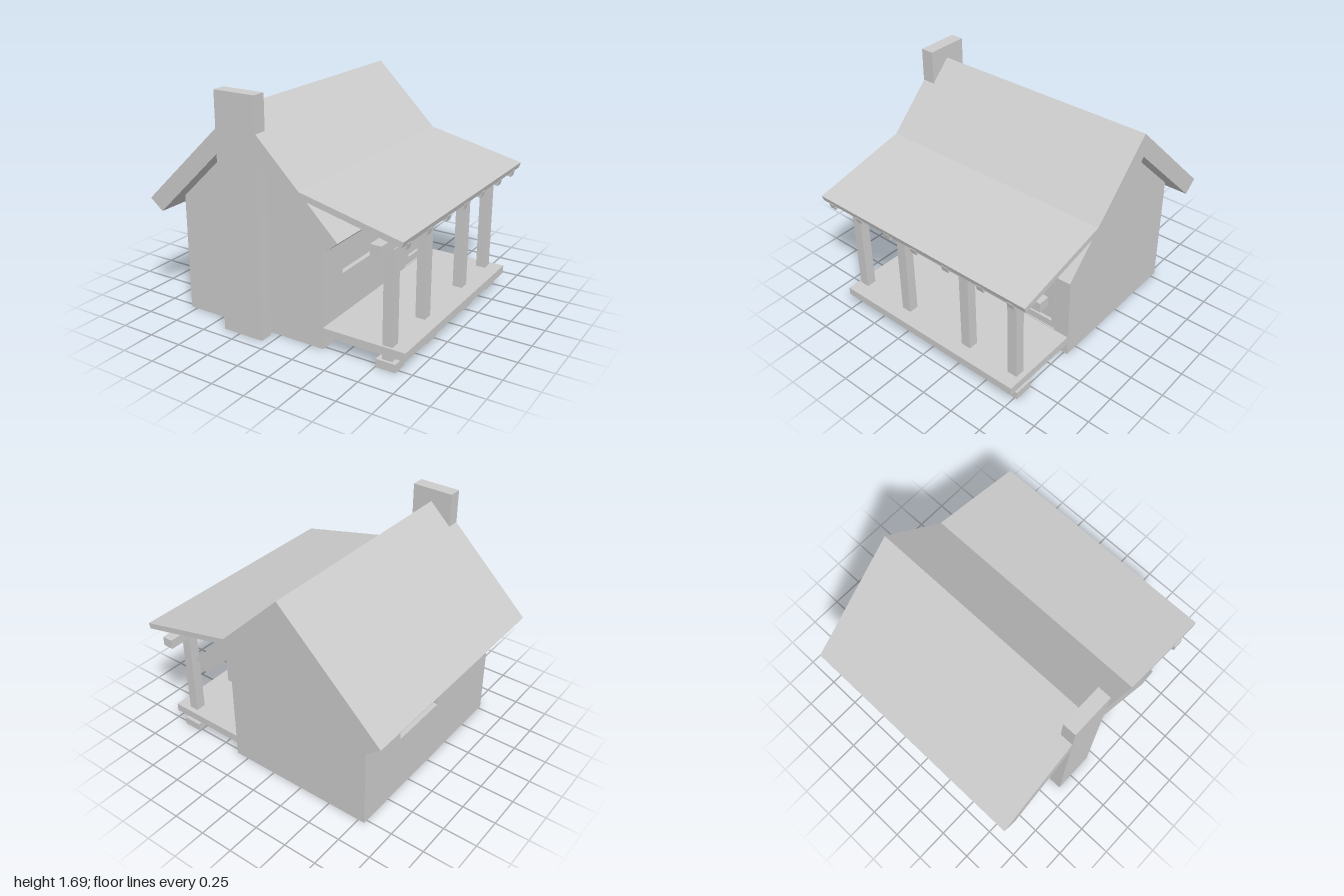
import * as THREE from 'three';

const grey = new THREE.MeshStandardMaterial({ color: 0xcccccc });
const paneGrey = new THREE.MeshStandardMaterial({ color: 0xeeeeee });

export function createModel() {
  const house = new THREE.Group();
  house.name = 'cabin';

  const add = (name, geometry, material = grey) => {
    const mesh = new THREE.Mesh(geometry, material);
    mesh.name = name;
    house.add(mesh);
    return mesh;
  };

  // Box given by its limits on each axis
  const box = (name, [x0, x1], [y0, y1], [z0, z1], material) =>
    add(name, new THREE.BoxGeometry(x1 - x0, y1 - y0, z1 - z0)
      .translate((x0 + x1) / 2, (y0 + y1) / 2, (z0 + z1) / 2), material);

  const polygon = (points) => new THREE.Shape(points.map(([x, y]) => new THREE.Vector2(x, y)));

  // Profile in x and y, extruded along z around a centre
  const prism = (name, points, length, z = 0) =>
    add(name, new THREE.ExtrudeGeometry(polygon(points), { depth: length, bevelEnabled: false })
      .translate(0, 0, z - length / 2));

  const rect = (z0, z1, y0, y1) => [[z0, y0], [z1, y0], [z1, y1], [z0, y1]];

  // Side wall or frame in the z-y plane, with openings; x0 is its inner (smaller x) face
  const panel = (name, outline, openings, x0, thickness) => {
    const shape = polygon(outline);
    openings.forEach((o) => shape.holes.push(polygon(o)));
    add(name, new THREE.ExtrudeGeometry(shape, { depth: thickness, bevelEnabled: false })
      .rotateY(-Math.PI / 2).translate(x0 + thickness, 0, 0));
  };

  // Body with gables
  prism('body', [[-0.76, 0], [0.31, 0], [0.31, 0.92], [-0.22, 1.45], [-0.76, 0.92]], 1.56);

  // Side walls with window and door openings
  const rightWindow = rect(0.075, 0.545, 0.46, 0.75);
  const leftWindow = rect(-0.38, 0.09, 0.46, 0.75);
  const doorway = rect(-0.66, -0.335, 0.165, 0.75);
  const wall = rect(-0.78, 0.78, 0, 0.9);
  panel('rightWall', wall, [rightWindow, doorway], 0.31, 0.04);
  panel('leftWall', wall, [leftWindow], -0.8, 0.04);
  box('rightWindowPane', [0.305, 0.315], [0.46, 0.75], [0.075, 0.545], paneGrey);
  box('leftWindowPane', [-0.765, -0.755], [0.46, 0.75], [-0.38, 0.09], paneGrey);

  // Door: frame around a sunken panel
  panel('doorFrame', rect(-0.655, -0.34, 0.17, 0.745), [rect(-0.63, -0.4, 0.225, 0.705)], 0.31, 0.035);
  box('doorPanel', [0.305, 0.322], [0.225, 0.705], [-0.63, -0.4]);

  // Main roof
  prism('roof', [
    [-1, 0.845], [-0.9, 0.765], [-0.22, 1.42], [0.45, 0.765], [0.545, 0.845], [-0.215, 1.595],
  ], 1.82);

  // Chimney, standing just clear of the front gable
  box('chimney', [-0.38, -0.06], [0, 1.69], [0.813, 0.912]);

  // Porch floor
  box('porchDeck', [0.35, 0.965], [0.1, 0.16], [-0.777, 0.787]);

  // Posts on footings
  for (const z of [0.732, 0.288, -0.288, -0.7]) {
    box('post', [0.79, 0.862], [0.06, 0.83], [z - 0.038, z + 0.038]);
    const half = z > 0.5 ? 0.058 : 0.072;
    box('footing', [0.825 - 0.072, 0.825 + 0.072], [0, 0.06], [z - half, z + half]);
  }

  // Beam over the posts
  box('porchBeam', [0.775, 0.855], [0.83, 0.9], [-0.914, 0.914]);

  // Porch roof and its rafters
  prism('porchRoof', [[0.26, 1.125], [0.29, 1.075], [0.985, 0.916], [0.997, 0.956]], 1.82);
  for (const z of [0.82, 0.55, 0.28, 0.03, -0.25, -0.545, -0.79]) {
    prism('rafter', [[0.3, 1.08], [0.34, 1.028], [0.98, 0.88], [0.99, 0.922]], 0.055, z);
  }

  return house;
}
